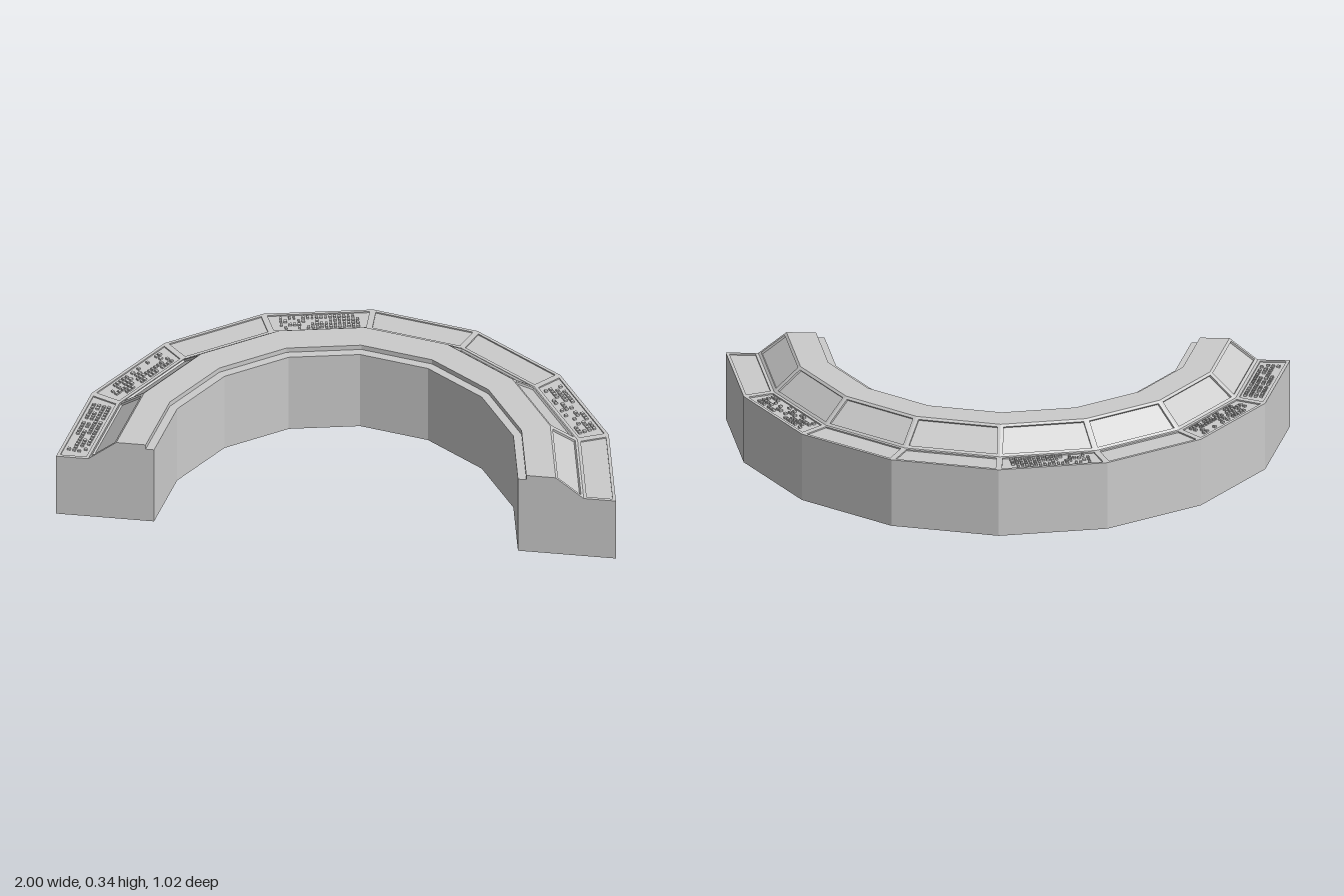
import * as THREE from 'three';
import { mergeGeometries } from 'three/addons/utils/BufferGeometryUtils.js';

const SEGMENTS = 8, TILT = 0.02, CENTER_Z = 0.49;
// Cross-section as [radius, height], from the inner foot over the top to the outer foot
const PROFILE = [[0.65, 0], [0.65, 0.318], [0.68, 0.318], [0.68, 0.337], [0.785, 0.337], [0.885, 0.255], [1, 0.255], [1, 0]];
const SLOPE = 4, LEDGE = 5;
const KEYED_SEGMENTS = [0, 1, 3, 6];

const angleAt = k => Math.PI + TILT - (k * Math.PI) / SEGMENTS;
const pointAt = (k, [r, y]) => new THREE.Vector3(r * Math.cos(angleAt(k)), y, CENTER_Z - r * Math.sin(angleAt(k)));

function addQuad(out, a, b, c, d) {
  for (const p of [a, b, c, a, c, d]) out.push(p.x, p.y, p.z);
}

// Quad with a border and a recessed floor
function addInset(out, q, margin, depth) {
  const n = q[1].clone().sub(q[0]).cross(q[3].clone().sub(q[0])).normalize();
  const rim = q.map((p, i) => {
    const next = q[(i + 1) % 4].clone().sub(p).normalize();
    const prev = q[(i + 3) % 4].clone().sub(p).normalize();
    const sine = next.clone().cross(prev).length();
    return p.clone().addScaledVector(next.add(prev), margin / sine);
  });
  const floor = rim.map(p => p.clone().addScaledVector(n, -depth));
  for (let i = 0; i < 4; i++) {
    const j = (i + 1) % 4;
    addQuad(out, q[i], q[j], rim[j], rim[i]);
    addQuad(out, rim[i], rim[j], floor[j], floor[i]);
  }
  addQuad(out, ...floor);
}

function toGeometry(positions) {
  const g = new THREE.BufferGeometry();
  g.setAttribute('position', new THREE.Float32BufferAttribute(positions, 3));
  g.computeVertexNormals();
  return g;
}

// One strip of the profile swept around the arc
function sweep(j, margin, depth) {
  const out = [];
  for (let k = 0; k < SEGMENTS; k++) {
    const q = [pointAt(k, PROFILE[j]), pointAt(k + 1, PROFILE[j]), pointAt(k + 1, PROFILE[j + 1]), pointAt(k, PROFILE[j + 1])];
    if (depth) addInset(out, q, margin, depth);
    else addQuad(out, ...q);
  }
  return toGeometry(out);
}

// Closing wall at one end of the arc
function endCap(k) {
  const g = new THREE.ShapeGeometry(new THREE.Shape(PROFILE.map(p => new THREE.Vector2(...p))));
  if (k === 0) {
    g.index.array.reverse();
    g.computeVertexNormals();
  }
  return g.rotateY(angleAt(k)).translate(0, 0, CENTER_Z);
}

// Irregular rows of small keys on one ledge segment
function keys(k, random) {
  const parts = [];
  const mid = angleAt(k + 0.5);
  for (let row = 0; row < 4; row++) {
    for (let col = 0; col < 18; col++) {
      if (random() < 0.3) continue;
      const key = new THREE.BoxGeometry(0.011, 0.008, 0.007 + 0.005 * random());
      key.translate(0.895 + row * 0.019, 0.253, (col - 8.5) * 0.016);
      parts.push(key.rotateY(mid).translate(0, 0, CENTER_Z));
    }
  }
  return mergeGeometries(parts);
}

export function createModel() {
  const model = new THREE.Group();
  model.name = 'curvedConsole';
  const material = new THREE.MeshStandardMaterial({ color: 0xcccccc, flatShading: true, side: THREE.DoubleSide });
  const add = (name, geometry) => {
    const mesh = new THREE.Mesh(geometry, material);
    mesh.name = name;
    model.add(mesh);
  };

  // Shell strips, open underneath
  const names = ['innerWall', 'innerStep', 'stepRiser', 'topDeck', 'slopedPanels', 'keyLedge', 'outerWall'];
  names.forEach((name, j) => {
    const depth = j === SLOPE ? 0.008 : j === LEDGE ? 0.005 : 0;
    add(name, sweep(j, 0.011, depth));
  });

  add('rightEndWall', endCap(0));
  add('leftEndWall', endCap(SEGMENTS));

  // Key clusters
  let seed = 7;
  const random = () => (seed = (seed * 16807) % 2147483647) / 2147483647;
  for (const k of KEYED_SEGMENTS) add('keyCluster' + k, keys(k, random));
  return model;
}
